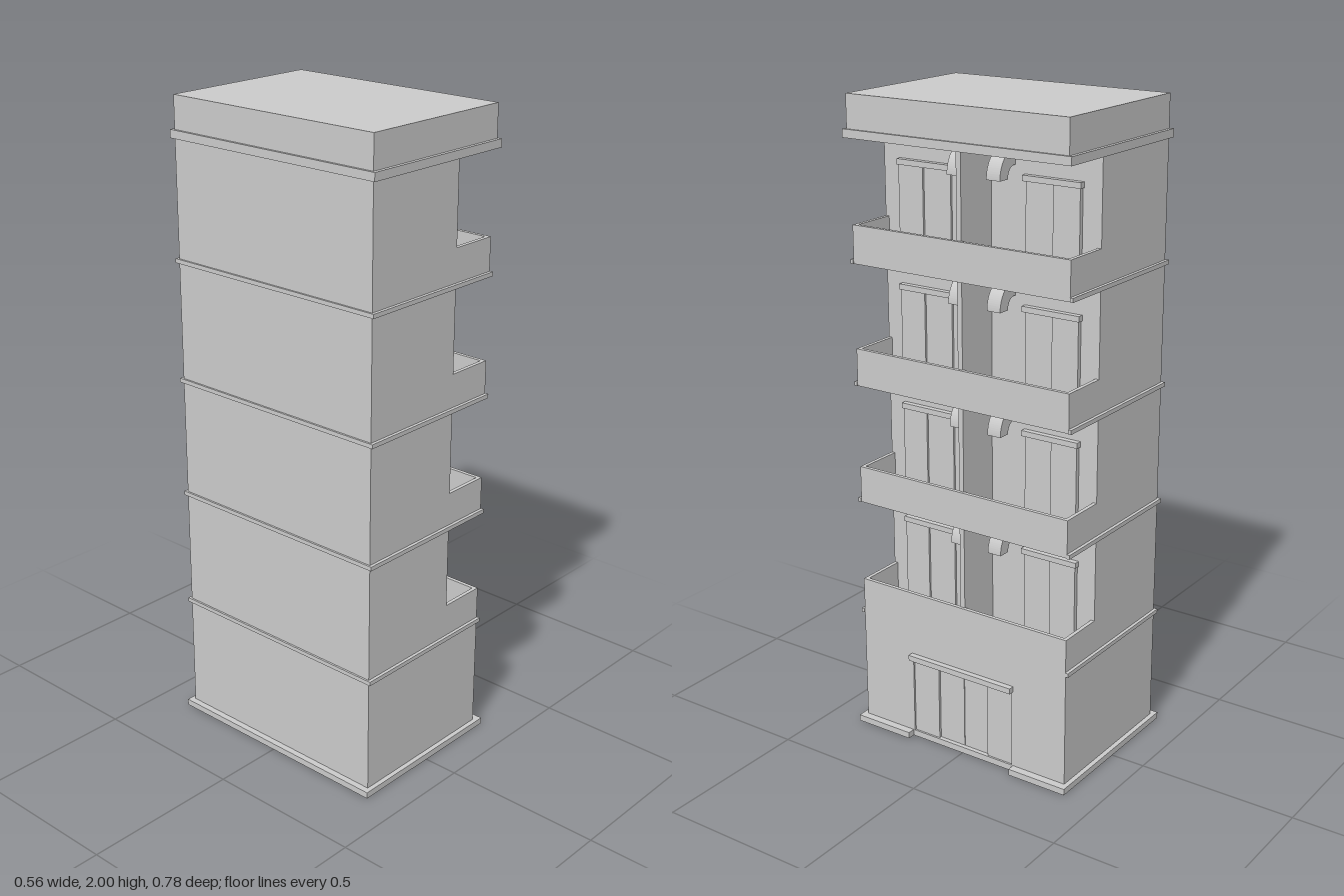
import * as THREE from 'three';

const material = new THREE.MeshStandardMaterial({ color: 0xcccccc });

// Box given by its extents on each axis
function box(parent, name, x0, x1, y0, y1, z0, z1) {
  const mesh = new THREE.Mesh(new THREE.BoxGeometry(x1 - x0, y1 - y0, z1 - z0), material);
  mesh.position.set((x0 + x1) / 2, (y0 + y1) / 2, (z0 + z1) / 2);
  mesh.name = name;
  parent.add(mesh);
  return mesh;
}

// Same box on both sides of the middle, z0 < z1 given for the +z side
function pair(parent, name, x0, x1, y0, y1, z0, z1) {
  box(parent, name, x0, x1, y0, y1, z0, z1);
  box(parent, name, x0, x1, y0, y1, -z1, -z0);
}

const BACK = -0.26, WALL = 0.097, FACE = 0.252, HALF = 0.375;
const PITCH = 0.375, FIRST = 0.38, FLOORS = 4;

// Quarter-bend vent hood that opens downward
function ventGeometry() {
  const s = new THREE.Shape();
  s.moveTo(-0.002, 0.078);
  s.lineTo(0.015, 0.078);
  s.absellipse(0.015, 0, 0.062, 0.078, Math.PI / 2, 0, true);
  s.lineTo(0.038, 0);
  s.absellipse(0.008, 0, 0.03, 0.036, 0, Math.PI / 2, false);
  s.lineTo(-0.002, 0.036);
  s.closePath();
  return new THREE.ExtrudeGeometry(s, { depth: 0.046, bevelEnabled: false, curveSegments: 10 });
}

function createStorey(vent) {
  const g = new THREE.Group();
  const top = 0.116;

  // Balcony floor and parapet
  box(g, 'balconyFloor', WALL, FACE - 0.012, 0, 0.02, -HALF + 0.012, HALF - 0.012);
  box(g, 'parapetFront', FACE - 0.012, FACE, 0, top, -HALF, HALF);
  pair(g, 'parapetEnd', WALL, FACE - 0.012, 0, top, HALF - 0.012, HALF);

  // Wall between the two flats
  box(g, 'partition', WALL, 0.243, 0.02, PITCH, -0.008, 0.008);

  // Sliding doors with lintel
  pair(g, 'doorPanelOuter', WALL, 0.111, 0.02, 0.277, 0.225, 0.313);
  pair(g, 'doorPanelInner', WALL, 0.104, 0.02, 0.277, 0.13, 0.225);
  pair(g, 'doorLintel', WALL, 0.115, 0.277, 0.294, 0.124, 0.317);

  // Vent hoods beside the partition
  for (const z of [0.045, -0.091]) {
    const mesh = new THREE.Mesh(vent, material);
    mesh.name = 'ventHood';
    mesh.position.set(WALL, 0.281, z);
    g.add(mesh);
  }

  // String course on the three closed sides
  box(g, 'stringCourseSide', BACK - 0.006, BACK, 0, 0.013, -0.385, 0.385);
  pair(g, 'stringCourseEnd', BACK, FACE + 0.003, 0, 0.013, HALF, 0.385);
  return g;
}

export function createModel() {
  const model = new THREE.Group();
  model.name = 'apartmentTower';

  // Plinth with a gap at the entrance
  box(model, 'plinth', -0.28, FACE, 0, 0.02, -0.39, 0.39);
  pair(model, 'plinthFront', FACE, 0.277, 0, 0.02, 0.19, 0.39);

  // Closed rear part of the tower
  box(model, 'towerCore', BACK, WALL, 0.02, 1.875, -HALF, HALF);

  // Ground floor with recessed entrance
  const doorTop = 0.272;
  box(model, 'groundFloor', WALL, 0.228, 0.02, FIRST, -HALF, HALF);
  pair(model, 'entranceWall', 0.228, FACE, 0.02, FIRST, 0.185, HALF);
  box(model, 'entranceHead', 0.228, FACE, doorTop, FIRST, -0.185, 0.185);
  pair(model, 'entranceSidePanel', 0.228, 0.246, 0.02, doorTop, 0.092, 0.185);
  pair(model, 'entranceDoor', 0.228, 0.238, 0.02, doorTop, 0.001, 0.092);
  box(model, 'entranceCanopy', FACE, 0.27, doorTop, 0.29, -0.19, 0.19);

  // Balcony storeys
  const vent = ventGeometry();
  for (let i = 0; i < FLOORS; i++) {
    const storey = createStorey(vent);
    storey.name = 'storey' + (i + 1);
    storey.position.y = FIRST + i * PITCH;
    model.add(storey);
  }

  // Cornice and roof block
  box(model, 'cornice', -0.268, 0.272, 1.875, 1.9, -0.386, 0.386);
  box(model, 'roofBlock', BACK, 0.265, 1.9, 2, -HALF, HALF);
  return model;
}
